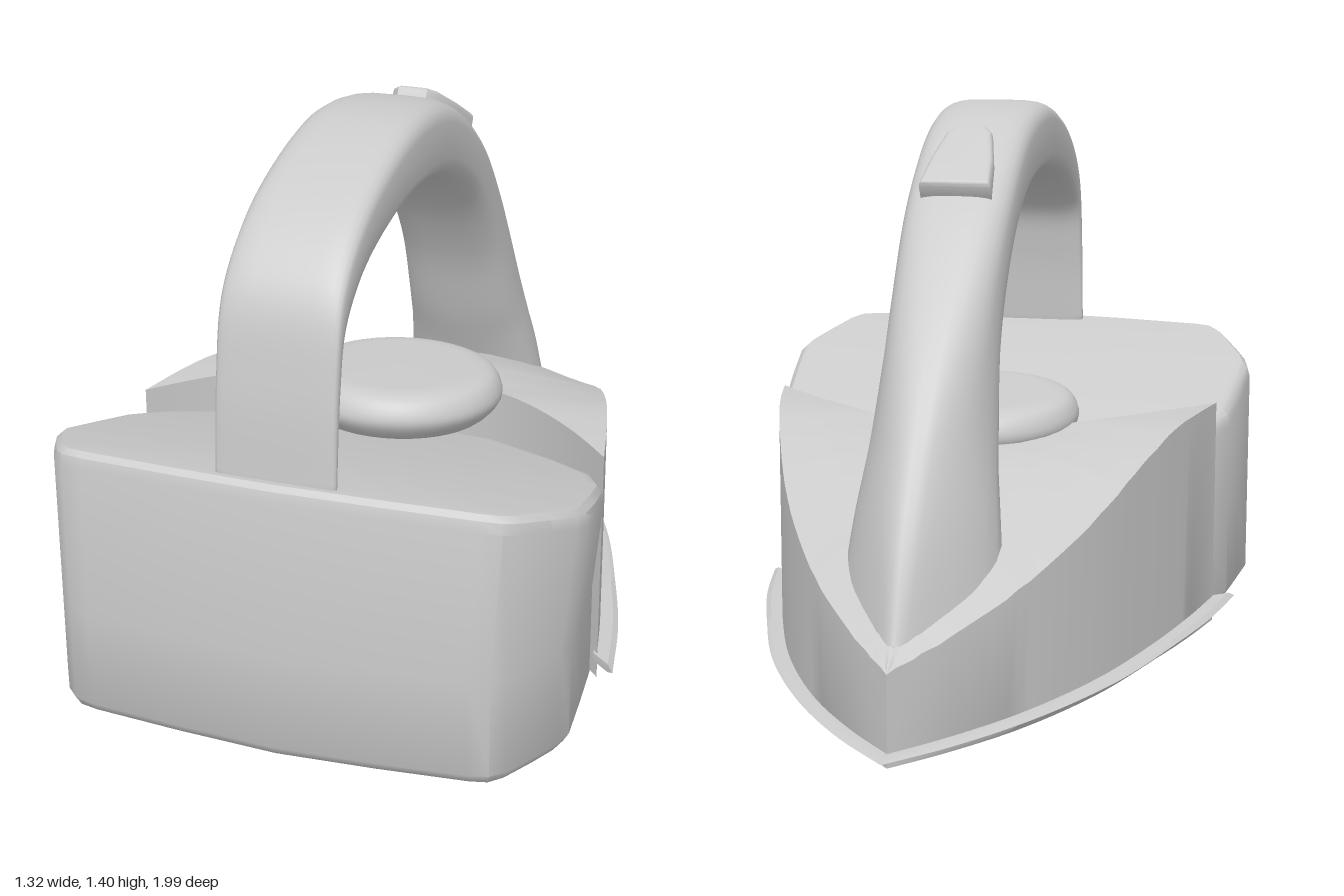
import * as THREE from 'three';
import { toCreasedNormals } from 'three/addons/utils/BufferGeometryUtils.js';

const material = new THREE.MeshStandardMaterial({ color: 0xcccccc, side: THREE.DoubleSide });
const { lerp, clamp } = THREE.MathUtils;
const vec = (x, y, z) => new THREE.Vector3(x, y, z);
const curve = pts => new THREE.CatmullRomCurve3(pts.map(p => vec(...p)));

// Skin closed rings of points, cap both ends, and face the result outwards.
function loft(rings, crease) {
  const n = rings[0].length, verts = rings.flat(), index = [];
  rings.slice(1).forEach((_, r) => {
    for (let i = 0; i < n; i++) {
      const a = r * n + i, b = r * n + (i + 1) % n;
      index.push(a, b, b + n, a, b + n, a + n);
    }
  });
  [0, rings.length - 1].forEach(r => {
    const centre = vec(0, 0, 0);
    rings[r].forEach(p => centre.addScaledVector(p, 1 / n));
    const c = verts.push(centre) - 1;
    for (let i = 0; i < n; i++) {
      const a = r * n + i, b = r * n + (i + 1) % n;
      index.push(c, ...(r ? [a, b] : [b, a]));
    }
  });
  let volume = 0;
  for (let i = 0; i < index.length; i += 3) {
    const [a, b, c] = [0, 1, 2].map(k => verts[index[i + k]]);
    volume += a.dot(b.clone().cross(c));
  }
  if (volume < 0) index.reverse();
  const g = new THREE.BufferGeometry().setFromPoints(verts);
  g.setIndex(index);
  g.computeVertexNormals();
  return crease ? toCreasedNormals(g, crease) : g;
}

// Water tank: one plan outline stacked with rounded upper and lower rims.
function tankGeometry() {
  const half = [[0.25, 0.03], [0.46, 0.19], [0.58, 0.31], [0.63, 0.43], [0.645, 0.57], [0.658, 0.71],
    [0.645, 0.76], [0.61, 0.83], [0.565, 0.91], [0.53, 0.945], [0.48, 0.957], [0.25, 0.978]];
  const outline = [[0, -0.03], ...half, [0, 0.993], ...half.map(([x, z]) => [-x, z]).reverse()];
  const n = outline.length;
  const top = z => 0.55 + 0.175 * (z - 0.35) / 0.6;
  const levels = [[0.07, 0.018], [0.045, 0.022], [0.015, 0.036], [0, 0.06], [0, 0.3],
    [0, -0.045], [0.007, -0.018], [0.022, -0.003], [0.04, 0]];
  const rings = levels.map(([inset, h], k) => outline.map(([x, z], i) => {
    const p = outline[(i + n - 1) % n], q = outline[(i + 1) % n];
    const dx = q[0] - p[0], dz = q[1] - p[1], len = Math.hypot(dx, dz);
    const px = x - dz / len * inset, pz = z + dx / len * inset;
    const y = k < 5 ? h : top(pz) + h;
    // the left wall leans in slightly towards the base
    const lean = px > 0 ? 1 - 0.045 * clamp((0.6 - y) / 0.3, 0, 1) : 1;
    return vec(px * lean, y, pz);
  }));
  return loft(rings, 0.6);
}

// Pointed shell: each half runs from the tip to the tail, with a hollow rear edge.
const shellEdge = curve([[0, 0, -0.94], [0.11, 0, -0.82], [0.25, 0, -0.63], [0.39, 0, -0.36],
  [0.49, 0, -0.08], [0.555, 0, 0.15], [0.6, 0, 0.35]]);
function shellGeometry(side) {
  const rear = new THREE.QuadraticBezierCurve3(vec(0, 0, -0.02), vec(0.3, 0, 0), vec(0.6, 0, 0.35));
  const rim = curve([[0, 0.22, -0.94], [0, 0.33, -0.67], [0, 0.44, -0.4], [0, 0.54, -0.15],
    [0, 0.595, 0.05], [0, 0.605, 0.2], [0, 0.605, 0.36]]).getPoints(120);
  const rimHeight = z => (rim.find(p => p.z >= z) ?? rim.at(-1)).y;
  const rings = [];
  for (let i = 0; i <= 40; i++) {
    const u = i / 40, outer = shellEdge.getPoint(u);
    const inner = u < 0.7 ? vec(0, 0, lerp(-0.94, -0.02, u / 0.7)) : rear.getPoint((u - 0.7) / 0.3);
    const at = (v, y) => {
      const p = outer.clone().lerp(inner, v);
      const crown = 0.055 * Math.sin(Math.PI * clamp(-p.z / 0.94, 0, 1)) * Math.sin(v * Math.PI / 2);
      return vec(p.x * side, y ?? rimHeight(p.z) + crown, p.z);
    };
    rings.push([at(1, 0), at(0.03, 0), at(0, 0.015), at(0), at(0.25), at(0.5), at(0.75), at(1)]);
  }
  return loft(rings, 0.5);
}

// Thin lip standing out around the soleplate, ending in a pointed tail.
function lipGeometry(side) {
  const edge = curve([[0, 0.03, -1], [0.14, 0.033, -0.85], [0.29, 0.037, -0.64], [0.44, 0.042, -0.35],
    [0.54, 0.048, -0.06], [0.61, 0.053, 0.18], [0.655, 0.056, 0.41]]);
  const rings = [];
  for (let i = 0; i <= 32; i++) {
    const o = edge.getPoint(i / 32), s = shellEdge.getPoint(i / 32);
    const t = lerp(0.004, 0.011, i / 32);
    const x = Math.max(0, s.x - 0.01);
    rings.push([vec(o.x * side, o.y, o.z), vec(lerp(o.x, s.x, 0.3) * side, o.y + t, lerp(o.z, s.z, 0.3)),
      vec(x * side, o.y + t, s.z), vec(x * side, o.y - t, s.z),
      vec(lerp(o.x, s.x, 0.3) * side, o.y - t, lerp(o.z, s.z, 0.3))]);
  }
  return loft(rings, 0.6);
}

// Arched handle: outer and inner spines, with x holding the half width.
function handleGeometry() {
  const outer = curve([[0.145, 0.69, 0.952], [0.145, 0.95, 0.932], [0.145, 1.15, 0.885], [0.145, 1.28, 0.76],
    [0.145, 1.37, 0.55], [0.145, 1.405, 0.33], [0.14, 1.365, 0.08], [0.135, 1.22, -0.17],
    [0.12, 1, -0.4], [0.095, 0.75, -0.61], [0.075, 0.5, -0.77], [0.045, 0.22, -0.89]]);
  const inner = curve([[0.145, 0.69, 0.93], [0.145, 0.93, 0.897], [0.145, 1.05, 0.86], [0.145, 1.14, 0.74],
    [0.145, 1.2, 0.53], [0.145, 1.215, 0.33], [0.14, 1.17, 0.1], [0.14, 1.05, -0.1],
    [0.15, 0.84, -0.25], [0.19, 0.62, -0.34], [0.24, 0.44, -0.42], [0.29, 0.22, -0.49]]);
  const rings = [];
  for (let i = 0; i <= 66; i++) {
    const u = i / 66, o = outer.getPoint(u), n = inner.getPoint(u);
    const power = 2 / lerp(4.2, 2.2, clamp((u - 0.45) / 0.4, 0, 1));
    const ring = [];
    for (let k = 0; k < 28; k++) {
      const a = k / 28 * Math.PI * 2, c = Math.cos(a), s = Math.sin(a);
      const t = (Math.sign(s) * Math.abs(s) ** power + 1) / 2;
      const p = n.clone().lerp(o, t);
      p.x *= Math.sign(c) * Math.abs(c) ** power;
      ring.push(p);
    }
    rings.push(ring);
  }
  return loft(rings);
}

// Temperature dial: a rounded disc.
function dialGeometry() {
  const profile = new THREE.SplineCurve([[0.17, -0.1], [0.22, -0.085], [0.255, -0.05], [0.262, -0.02],
    [0.245, 0.015], [0.215, 0.03], [0.18, 0.034]].map(p => new THREE.Vector2(...p))).getPoints(18);
  return new THREE.LatheGeometry([new THREE.Vector2(0, -0.1), ...profile, new THREE.Vector2(0, 0.036)], 40);
}

// Steam button: a tapered, bevelled slab.
function buttonGeometry() {
  const s = new THREE.Shape([[-0.075, -0.11], [0.075, -0.11], [0.066, -0.02], [0.045, 0.09], [0.03, 0.11],
    [-0.03, 0.11], [-0.045, 0.09], [-0.066, -0.02]].map(p => new THREE.Vector2(...p)));
  return toCreasedNormals(new THREE.ExtrudeGeometry(s, {
    depth: 0.05, bevelThickness: 0.012, bevelSize: 0.014, bevelSegments: 3 }), 0.6);
}

export function createModel() {
  const model = new THREE.Group();
  const add = (name, geometry) => {
    const mesh = new THREE.Mesh(geometry, material);
    mesh.name = name;
    model.add(mesh);
    return mesh;
  };
  add('waterTank', tankGeometry());
  for (const [name, side] of [['left', 1], ['right', -1]]) {
    add(name + 'Shell', shellGeometry(side));
    add(name + 'SoleLip', lipGeometry(side));
  }
  add('handle', handleGeometry());
  const dial = add('dial', dialGeometry());
  dial.position.set(0, 0.63, 0.11);
  dial.rotation.x = -0.07;
  const button = add('steamButton', buttonGeometry());
  button.position.set(0, 1.295, -0.095);
  button.rotation.x = 1.04;
  return model;
}
